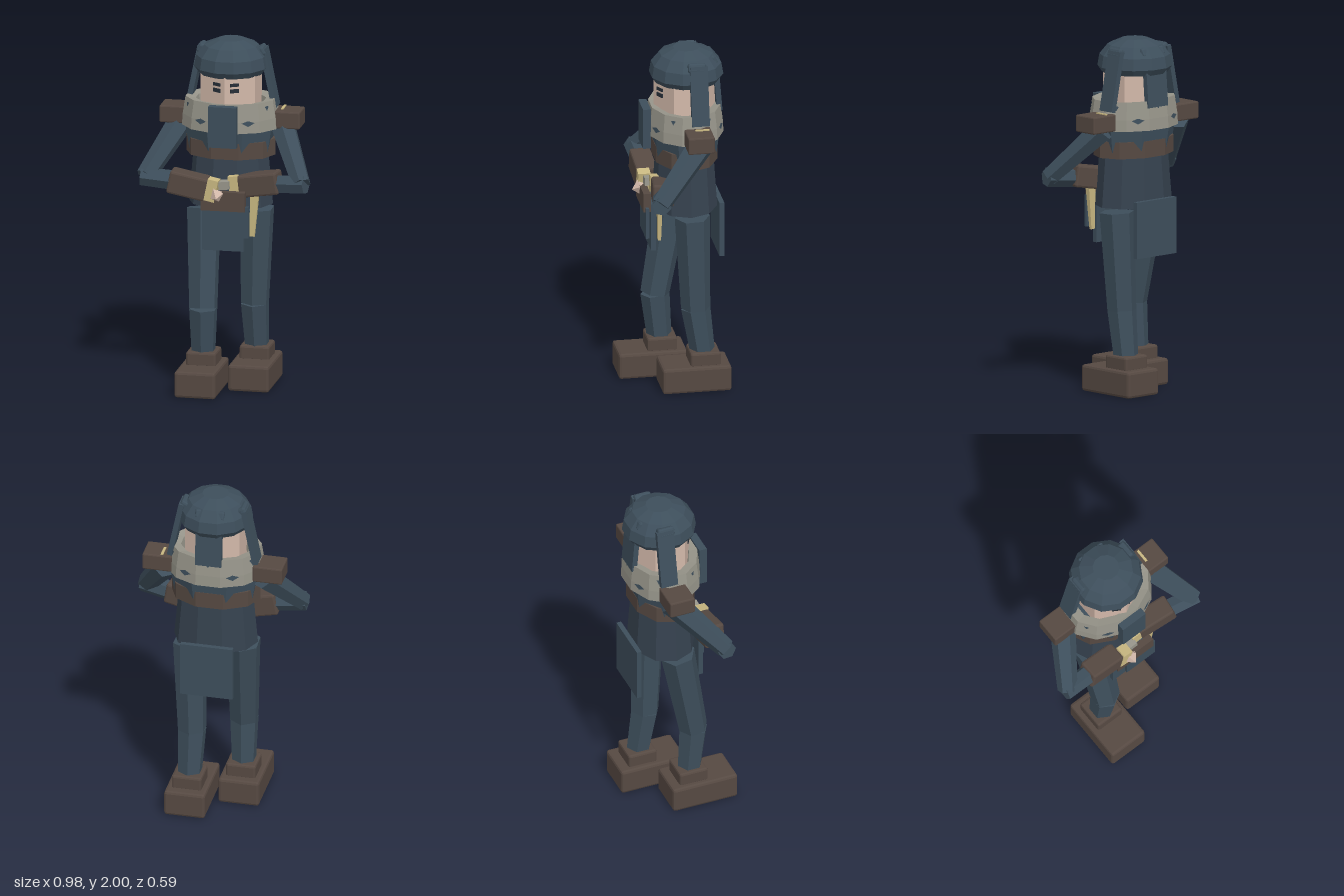
import * as THREE from 'three';
import { RoundedBoxGeometry } from 'three/addons/geometries/RoundedBoxGeometry.js';

const paint = (name, color, side = THREE.FrontSide) => {
  const m = new THREE.MeshStandardMaterial({ color, side, flatShading: true });
  m.name = name;
  return m;
};

export function createModel() {
  const cloth = paint('blue grey cloth', 0x3d4e5b, THREE.DoubleSide);
  const tunicCloth = paint('dark tunic cloth', 0x36424f);
  const leather = paint('brown leather', 0x564942);
  const scarfCloth = paint('grey scarf', 0x97958a, THREE.DoubleSide);
  const skin = paint('skin', 0xd2b8a9);
  const straw = paint('straw yellow', 0xc8b781);
  const ink = paint('eye ink', 0x262e37, THREE.DoubleSide);

  const model = new THREE.Group();
  const add = (name, geo, mat, pos = [0, 0, 0], rot = [0, 0, 0], parent = model) => {
    const mesh = new THREE.Mesh(geo, mat);
    mesh.name = name;
    mesh.position.set(...pos);
    mesh.rotation.set(...rot);
    parent.add(mesh);
    return mesh;
  };
  const box = (name, size, mat, pos, rot) => add(name, new THREE.BoxGeometry(...size), mat, pos, rot);
  const chamfered = (name, size, mat, pos, rot, r = 0.012) =>
    add(name, new RoundedBoxGeometry(...size, 1, r), mat, pos, rot);

  // Tapered prism between two points
  const limb = (name, a, b, ra, rb, mat, sides = 6) => {
    const from = new THREE.Vector3(...a), to = new THREE.Vector3(...b);
    const dir = to.clone().sub(from);
    const mesh = add(name, new THREE.CylinderGeometry(rb, ra, dir.length(), sides), mat);
    mesh.position.copy(from).add(to).multiplyScalar(0.5);
    mesh.quaternion.setFromUnitVectors(new THREE.Vector3(0, 1, 0), dir.normalize());
    return mesh;
  };
  // Oval prism standing on y0
  const oval = (name, y0, y1, r0, r1, depth, sides, mat, z = -0.07, turn = 0) => {
    const geo = new THREE.CylinderGeometry(r1, r0, y1 - y0, sides);
    geo.rotateY(turn);
    geo.scale(1, 1, depth);
    return add(name, geo, mat, [0, (y0 + y1) / 2, z]);
  };

  // Boots and legs, one stride apart
  for (const s of [-1, 1]) {
    const side = s < 0 ? 'right' : 'left';
    const bootZ = -0.102 * s, ankleZ = s < 0 ? 0.045 : -0.155;
    const hipZ = s < 0 ? -0.025 : -0.09, kneeZ = s < 0 ? 0.075 : -0.112;
    chamfered(side + 'Boot', [0.234, 0.15, 0.39], leather, [0.132 * s, 0.079, bootZ], [0, 0, 0], 0.015);
    chamfered(side + 'BootCuff', [0.17, 0.085, 0.17], leather, [0.132 * s, 0.185, ankleZ]);
    const knee = [0.128 * s, 0.475, kneeZ];
    limb(side + 'Shin', [0.132 * s, 0.21, ankleZ + 0.005], knee, 0.07, 0.083, cloth);
    limb(side + 'Thigh', knee, [0.145 * s, 1.03, hipZ], 0.083, 0.1, cloth);
  }

  // Torso
  oval('tunicSkirt', 1.06, 1.345, 0.24, 0.215, 0.76, 10, tunicCloth, -0.07, Math.PI / 10);
  oval('chestBand', 1.345, 1.44, 0.255, 0.255, 0.72, 10, leather, -0.07, Math.PI / 10);
  oval('chest', 1.36, 1.54, 0.24, 0.27, 0.74, 8, cloth, -0.07, Math.PI / 8);

  // Scarf ring with an inward lip
  const scarfProfile = [[0.2, 1.5], [0.278, 1.505], [0.274, 1.57], [0.258, 1.67], [0.2, 1.66], [0.19, 1.6]];
  const scarf = new THREE.LatheGeometry(scarfProfile.map(p => new THREE.Vector2(...p)), 12);
  scarf.rotateY(Math.PI / 12);
  scarf.scale(1, 1, 0.78);
  add('scarf', scarf, scarfCloth, [0, 0, -0.07]);

  // Painted marks around the scarf
  const diamond = (w, h, low) => new THREE.ShapeGeometry(new THREE.Shape(
    [[-w, 0], [0, -h], [w, 0], [0, low]].map(p => new THREE.Vector2(...p))));
  const bigMark = diamond(0.038, 0.02, 0.013), smallMark = diamond(0.014, 0.024, 0.004);
  for (let k = 1; k < 12; k++) {
    const t = k * Math.PI / 6, big = k % 2 === 1;
    const r = big ? 0.272 : 0.26;
    const mark = add('scarfMark', big ? bigMark : smallMark, cloth,
      [Math.sin(t) * r, big ? 1.565 : 1.645, -0.07 + Math.cos(t) * r * 0.78]);
    mark.lookAt(mark.position.clone().add(new THREE.Vector3(Math.sin(t) * 0.78, 0.1, Math.cos(t))));
  }
  box('chestTab', [0.16, 0.235, 0.045], cloth, [0, 1.548, 0.155]);

  // Head with a ridge down the middle of the face
  oval('head', 1.58, 1.85, 0.18, 0.18, 1, 6, skin, -0.075);
  for (const s of [-1, 1]) {
    for (const [y, h] of [[1.772, 0.018], [1.738, 0.022]])
      box('eyeMark', [0.05, h, 0.008], ink, [0.05 * s, y, 0.078], [0, s * Math.PI / 6, 0]);
  }

  // Domed cap
  const capProfile = [[0, 1.815], [0.185, 1.81], [0.209, 1.845], [0.198, 1.91], [0.152, 1.967], [0.075, 2], [0, 2]];
  const cap = new THREE.LatheGeometry(capProfile.map(p => new THREE.Vector2(...p)), 12);
  cap.rotateY(Math.PI / 12);
  add('cap', cap, cloth, [0, 0, -0.08]);

  // Hanging flaps, each tied with a knot on the cap
  for (const [name, angle] of [['right', -Math.PI / 2], ['left', Math.PI / 2], ['back', Math.PI]]) {
    const hang = new THREE.Group();
    hang.name = name + 'Flap';
    hang.position.set(0, 0, -0.08);
    hang.rotation.y = angle;
    const back = name === 'back';
    add('knot', new RoundedBoxGeometry(back ? 0.17 : 0.1, 0.055, 0.05, 1, 0.012), cloth,
      [back ? 0 : 0.03 * Math.sign(angle), 1.932, back ? 0.135 : 0.168], [-0.5, 0, 0], hang);
    const width = back ? 0.15 : 0.1;
    const geo = new THREE.BoxGeometry(width, back ? 0.22 : 0.34, 0.03);
    add('flap', geo, cloth, [back ? 0 : 0.04 * Math.sign(angle), back ? 1.74 : 1.78, back ? 0.17 : 0.212],
      [back ? -0.08 : -0.2, 0, 0], hang);
    model.add(hang);
  }

  // Shoulder pads and arms
  for (const s of [-1, 1]) {
    const side = s < 0 ? 'right' : 'left';
    chamfered(side + 'ShoulderPad', [0.17, 0.098, 0.15], leather, [0.316 * s, 1.555, -0.1], [0, 0, 0], 0.008);
    const elbow = [0.445 * s, 1.235, 0.14];
    limb(side + 'UpperArm', [0.28 * s, 1.52, -0.12], elbow, 0.075, 0.056, cloth);
    limb(side + 'Forearm', [0.47 * s, 1.235, 0.14], [0.24 * s, 1.215, s < 0 ? 0.13 : 0.09], 0.054, 0.058, cloth);
  }
  box('padStitch', [0.014, 0.008, 0.08], straw, [0.29, 1.606, -0.122]);
  chamfered('rightCuff', [0.22, 0.13, 0.12], leather, [-0.2, 1.2, 0.13], [0, 0.03, -0.2]);
  chamfered('leftCuff', [0.235, 0.125, 0.12], leather, [0.2, 1.215, 0.088], [0, -0.13, 0.17]);

  // Wrists and clasped hands
  box('rightWrist', [0.06, 0.125, 0.07], straw, [-0.062, 1.182, 0.152], [0, 0, -0.2]);
  box('leftWrist', [0.055, 0.095, 0.07], straw, [0.055, 1.21, 0.1], [0, 0, 0.12]);
  add('rightHand', new THREE.OctahedronGeometry(0.048), skin, [-0.03, 1.155, 0.176], [0.2, 0.1, 0.4]);
  box('leftHand', [0.06, 0.045, 0.06], scarfCloth, [0.005, 1.208, 0.13], [0, 0, 0.1]);

  // Pouch, hanging panels and sash end
  box('pouch', [0.25, 0.11, 0.04], leather, [0.005, 1.122, 0.163]);
  box('frontPanel', [0.236, 0.28, 0.028], cloth, [-0.003, 0.967, 0.124]);
  box('smallPanel', [0.2, 0.18, 0.018], cloth, [0.05, 1.005, 0.164]);
  box('backPanel', [0.3, 0.32, 0.028], cloth, [0.01, 0.945, -0.256]);
  const sash = new THREE.CylinderGeometry(0.036, 0.02, 0.28, 4);
  sash.rotateY(Math.PI / 4);
  sash.scale(1, 1, 0.6);
  add('sashEnd', sash, straw, [0.165, 1.05, 0.1], [0, 0, -0.06]);

  return model;
}
